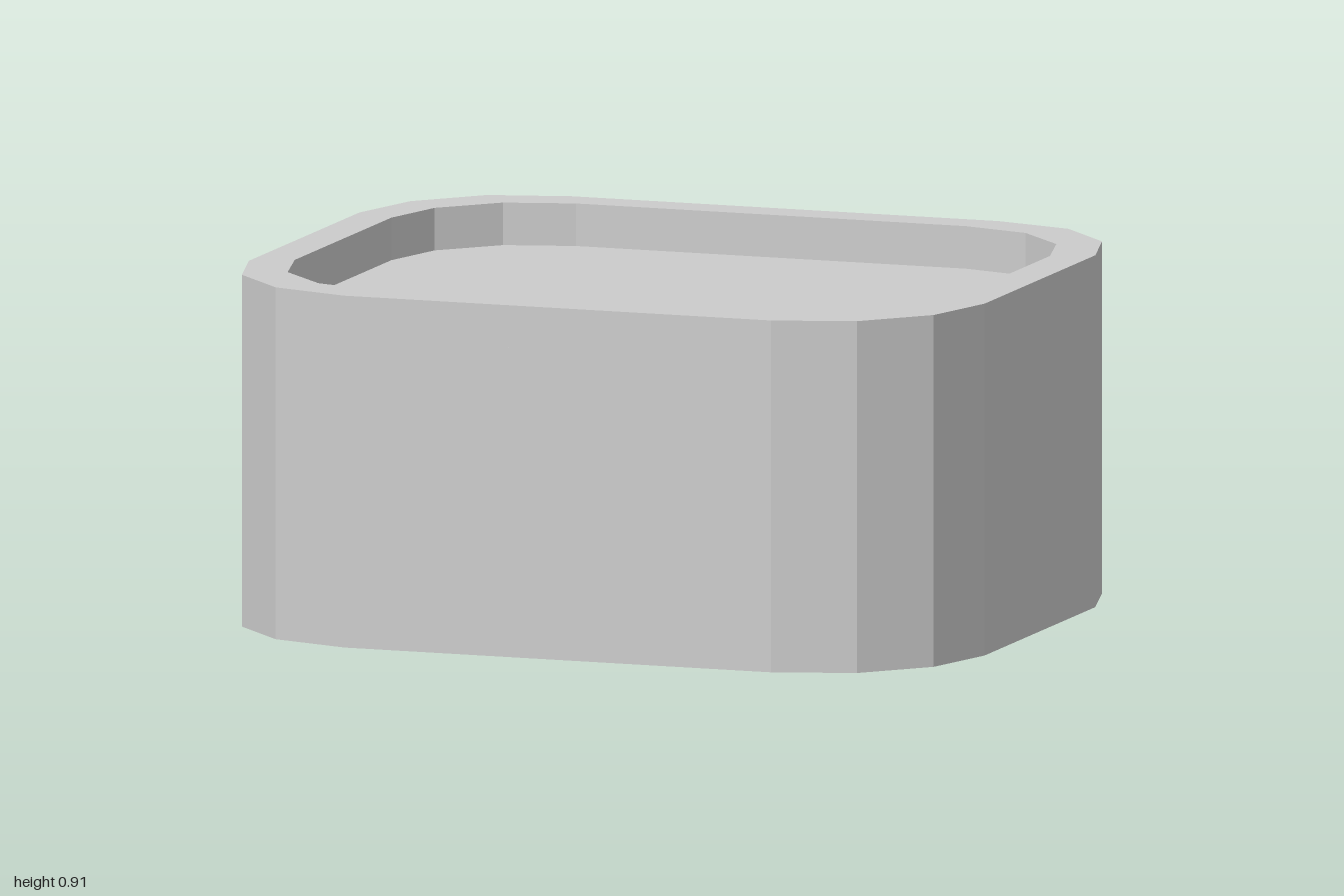
import * as THREE from 'three';

const material = new THREE.MeshStandardMaterial({ color: 0xcccccc, flatShading: true });
const RECESS = 0.1; // depth of window and door recesses
const REACH = 0.21; // how far the awnings stick out
const DROP = 0.055; // fall of the awnings over that reach

// Half outlines (x, z) on the +x side, running from front to back
const outer = [[0.58, 0.955], [0.79, 0.89], [0.94, 0.73], [1, 0.515],
  [1, -0.31], [0.94, -0.525], [0.79, -0.685], [0.58, -0.74]];
const inner = [[0.525, 0.845], [0.71, 0.79], [0.845, 0.65], [0.895, 0.46],
  [0.895, -0.26], [0.845, -0.445], [0.71, -0.585], [0.53, -0.635]];
const windowCut = [[0.79, -0.685 + RECESS], [0.58, -0.74 + RECESS], [0.36, -0.74 + RECESS], [0.36, -0.74]];
const doorCut = [[0.235, -0.74], [0.235, -0.74 + RECESS], [-0.225, -0.74 + RECESS], [-0.225, -0.74]];

const mirror = (pts) => pts.map(([x, z]) => [-x, z]).reverse();
const toVectors = (pts) => pts.map(([x, z]) => new THREE.Vector2(x, -z));
const closeLoop = (half, middle = []) => [...half, ...middle, ...mirror(half)];

// Extrudes a plan outline upward from y0 to y1
function slab(pts, y0, y1, hole) {
  const shape = new THREE.Shape(toVectors(pts));
  if (hole) shape.holes.push(new THREE.Path(toVectors(hole)));
  const geometry = new THREE.ExtrudeGeometry(shape, { depth: y1 - y0, bevelEnabled: false });
  return geometry.rotateX(-Math.PI / 2).translate(0, y0, 0);
}

// Plan position of the back wall at a given x
const backZ = (x) => -0.74 + 0.055 * Math.max(0, (Math.abs(x) - 0.58) / 0.21);

// Awning that follows the wall in plan and slopes down away from it
function awning(xs, reach) {
  const wall = xs.map((x) => [x, backZ(x)]);
  const edge = xs.map((x) => [x, backZ(x) - reach]).reverse();
  const geometry = slab([...wall, ...edge], 0.71, 0.765);
  const p = geometry.attributes.position;
  for (let i = 0; i < p.count; i++) {
    const out = backZ(p.getX(i)) - p.getZ(i);
    p.setY(i, p.getY(i) - (DROP * out) / reach);
  }
  geometry.computeVertexNormals();
  return geometry;
}

export function createModel() {
  const group = new THREE.Group();
  const add = (name, geometry) => {
    const mesh = new THREE.Mesh(geometry, material);
    mesh.name = name;
    group.add(mesh);
  };

  // Walls in stacked bands, each with the openings found at its height
  const full = closeLoop(outer);
  const withWindows = [...outer.slice(0, 7), ...windowCut];
  add('basePlate', slab(full, 0, 0.004));
  add('lowerWall', slab(closeLoop(outer, doorCut), 0.004, 0.2));
  add('windowWall', slab(closeLoop(withWindows, doorCut), 0.2, 0.71));
  add('roof', slab(full, 0.71, 0.8));
  add('parapet', slab(full, 0.8, 0.91, closeLoop(inner)));

  // Awnings over the door and both windows
  add('doorAwning', awning([0.24, -0.225], REACH - 0.005));
  add('leftWindowAwning', awning([0.79, 0.58, 0.357], REACH + 0.003));
  add('rightWindowAwning', awning([-0.357, -0.58, -0.79], REACH + 0.003));

  return group;
}
